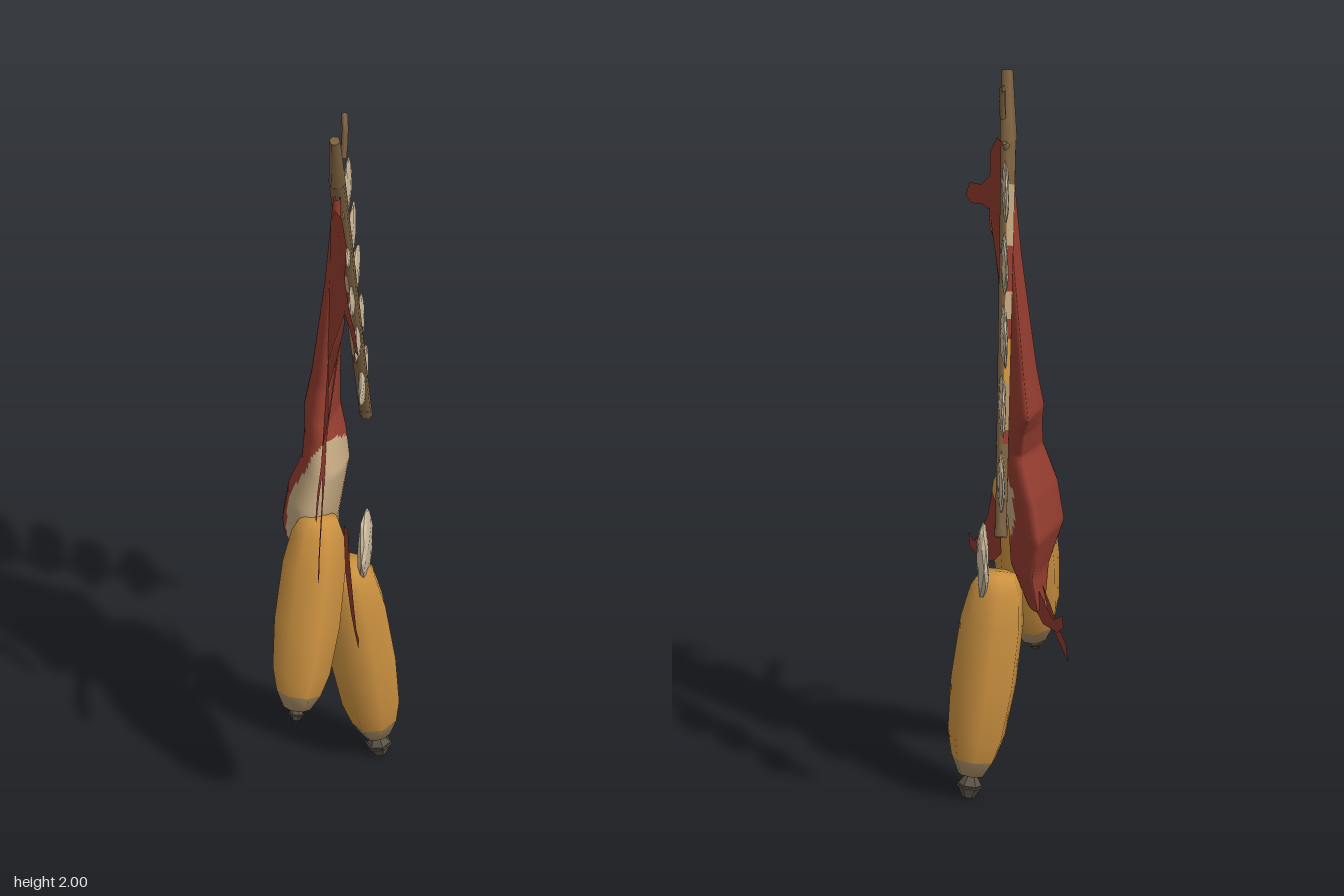
import * as THREE from 'three';

const mat = (name, color, extra = {}) => {
  const m = new THREE.MeshStandardMaterial({ color, ...extra });
  m.name = name;
  return m;
};
const V = (x, y, z) => new THREE.Vector3(x, y, z);

export function createModel() {
  const group = new THREE.Group();
  const red = mat('huskRed', 0x913b2e, { side: THREE.DoubleSide });
  const beige = mat('huskBeige', 0xbfa47d, { side: THREE.DoubleSide });
  const orange = mat('kernelOrange', 0xcb9140);
  const tan = mat('cobTan', 0xb09168);
  const brown = mat('stickBrown', 0x7c6140);
  const cream = mat('cloveCream', 0xcdba9d, { flatShading: true });
  const dark = mat('stubGrey', 0x5c5548, { flatShading: true });

  const add = (name, geo, material, parent = group) => {
    const mesh = new THREE.Mesh(geo, material);
    mesh.name = name;
    parent.add(mesh);
    return mesh;
  };
  const align = (obj, a, b) => {
    obj.position.copy(a);
    obj.quaternion.setFromUnitVectors(V(0, 1, 0), b.clone().sub(a).normalize());
  };

  // Flat ragged leaf: outline in (z, y), bent sideways by a rule for x
  const card = (name, outline, xOf) => {
    const geo = new THREE.ShapeGeometry(new THREE.Shape(outline.map(([z, y]) => new THREE.Vector2(z, y))));
    const p = geo.attributes.position;
    for (let i = 0; i < p.count; i++) {
      const z = p.getX(i), y = p.getY(i);
      p.setXYZ(i, xOf(z, y), y, z);
    }
    geo.computeVertexNormals();
    add(name, geo, red);
  };

  // Feathered leaf: each feather fans out at its own angle
  const { smoothstep } = THREE.MathUtils;
  card('featheredLeaf', [
    [0.12, 1.785], [0.165, 1.73], [0.2, 1.65], [0.27, 1.6], [0.36, 1.575], [0.39, 1.53], [0.35, 1.52], [0.27, 1.545],
    [0.21, 1.55], [0.205, 1.5], [0.245, 1.45], [0.285, 1.38], [0.3, 1.28], [0.27, 1.3], [0.245, 1.37], [0.185, 1.4],
    [0.195, 1.32], [0.235, 1.24], [0.22, 1.16], [0.17, 1.11], [0.2, 1.08], [0.3, 1.065], [0.35, 1.02], [0.325, 0.99],
    [0.25, 1.02], [0.18, 1.03], [0.17, 0.97], [0.22, 0.9], [0.27, 0.83], [0.285, 0.765], [0.25, 0.77], [0.23, 0.83],
    [0.17, 0.9], [0.1, 0.97], [0.05, 1.06], [0.02, 1.2], [0.012, 1.4], [0.02, 1.72], [0.06, 1.775],
  ], (z, y) => -0.025 - z * (0.48 - 0.1 * smoothstep(y, 1.1, 1.24) - 0.22 * smoothstep(y, 1.4, 1.5) - 0.1 * smoothstep(y, 1.62, 1.75)));

  // Curled husk tails
  card('frontHuskTail', [
    [0.11, 0.8], [0.15, 0.72], [0.22, 0.65], [0.28, 0.6], [0.335, 0.605], [0.33, 0.57],
    [0.25, 0.57], [0.17, 0.58], [0.08, 0.62], [0.02, 0.66], [0.03, 0.76],
  ], (z) => 0.015 - 0.24 * z);
  card('backHuskTail', [
    [-0.1, 0.64], [-0.15, 0.62], [-0.2, 0.6], [-0.27, 0.565], [-0.335, 0.6], [-0.345, 0.57], [-0.3, 0.54],
    [-0.2, 0.53], [-0.15, 0.55],
  ], (z) => -0.02 - 0.13 * z);
  card('lowerHuskTail', [
    [-0.15, 0.62], [-0.2, 0.58], [-0.25, 0.53], [-0.295, 0.505], [-0.31, 0.455], [-0.28, 0.475], [-0.2, 0.53],
  ], (z) => -0.03 - 0.07 * z);

  // Husk lofted from rings that narrow to the rear: y, centre x, centre z, long and short radius
  const rings = [
    [1.78, -0.005, 0.01, 0.012, 0.01], [1.5, -0.003, -0.018, 0.044, 0.024], [1.2, -0.01, -0.058, 0.087, 0.038],
    [1.1, -0.015, -0.07, 0.122, 0.047], [1.04, -0.02, -0.035, 0.112, 0.055], [0.97, -0.03, -0.005, 0.117, 0.063],
    [0.87, -0.045, -0.035, 0.165, 0.074], [0.77, -0.05, -0.06, 0.188, 0.074],
    [0.66, -0.02, -0.08, 0.13, 0.05], [0.56, -0.01, -0.135, 0.055, 0.022],
  ];
  const rows = [];
  rings.slice(1).forEach((b, k) => {
    for (let s = 0; s < 8; s++) rows.push(rings[k].map((v, i) => v + (b[i] - v) * s / 8));
  });
  rows.push(rings[rings.length - 1]);
  const sides = 48;
  const verts = [], redFaces = [], beigeFaces = [];
  rows.forEach(([y, cx, cz, a, b], r) => {
    for (let i = 0; i < sides; i++) {
      const t = (i / sides) * Math.PI * 2, cos = Math.cos(t), sin = Math.sin(t);
      const c = a * cos, s = b * sin * (1 - (sin < 0 ? 0.75 : 0.35) * Math.max(0, cos));
      verts.push(cx + 0.45 * c + 0.89 * s, y, cz - 0.89 * c + 0.45 * s);
    }
    if (!r) return;
    // Oval pale patch on the front of the husk
    for (let i = 0; i < sides; i++) {
      const j = (i + 1) % sides, p = (r - 1) * sides, q = r * sides;
      const u = ((i + 0.5) * 360 / sides - 148) / 92, v = ((y + rows[r - 1][0]) / 2 - 0.87) / 0.185;
      (u * u + v * v < 1 ? beigeFaces : redFaces).push(p + i, p + j, q + i, p + j, q + j, q + i);
    }
  });
  const husk = new THREE.BufferGeometry();
  husk.setAttribute('position', new THREE.Float32BufferAttribute(verts, 3));
  husk.setIndex([...redFaces, ...beigeFaces]);
  husk.addGroup(0, redFaces.length, 0);
  husk.addGroup(redFaces.length, beigeFaces.length, 1);
  husk.computeVertexNormals();
  add('husk', husk, [red, beige]);

  // Corn cobs: lathed body, pale end and a ragged stub
  const lathe = (pts) => new THREE.LatheGeometry(pts.map(([r, y]) => new THREE.Vector2(r, y)), 7);
  const cob = (name, bottom, top, stub, width) => {
    const g = new THREE.Group();
    g.name = name;
    const L = bottom.distanceTo(top);
    add('cobEnd', lathe([[0, 0], [0.036, 0], [0.06, 0.045]]), tan, g);
    add('kernels', lathe([[0.06, 0.045], [0.078, 0.11], [0.089, L * 0.45], [0.086, L * 0.75],
      [0.072, L * 0.91], [0.05, L * 0.99], [0, L]]), orange, g);
    [[0.014, 0.035, 0.28], [0.035, 0.016, 0.72]].forEach(([r1, r0, at]) => {
      const geo = new THREE.CylinderGeometry(r1 * width, r0 * width, stub * 0.55, 6);
      add('stub', geo, dark, g).position.y = -stub * at;
    });
    align(g, bottom, top);
    group.add(g);
  };
  cob('leftHangingCob', V(-0.187, 0.335, 0.197), V(-0.085, 0.86, 0.1), 0.035, 0.6);
  cob('lowerCob', V(0.112, 0.066, 0), V(0.03, 0.62, -0.005), 0.064, 1);

  // Faceted, nearly flat cloves in a row along the stick
  const clove = (name, x, y, z, a, b, thick, seed, tilt) => {
    const geo = new THREE.IcosahedronGeometry(1, 1);
    const p = geo.attributes.position, v = V();
    for (let i = 0; i < p.count; i++) {
      v.fromBufferAttribute(p, i);
      const k = 0.97 + 0.08 * Math.sin(v.x * 5 + v.y * 7 + v.z * 9 + seed * 2);
      p.setXYZ(i, v.x * k * a, v.y * k * b * (1 + 0.12 * v.x), v.z * k * thick);
    }
    geo.computeVertexNormals();
    const m = add(name, geo, cream);
    m.position.set(x, y, z);
    m.rotation.set(0, Math.atan2(0.89, 0.45), tilt);
  };
  [[0.064, 1.72, -0.1, 0.095], [0.092, 1.54, -0.145, 0.115], [0.124, 1.36, -0.2, 0.115],
    [0.151, 1.18, -0.24, 0.105], [0.183, 0.99, -0.292, 0.103]].forEach(([x, y, z, a], i) =>
    clove('clove' + (i + 1), x, y, z, a, 0.084, 0.01, i, 0.12));
  clove('lowerClove', 0.08, 0.66, -0.005, 0.095, 0.105, 0.018, 7, 0);

  // Tapered six-sided stick; bands are painted on its back half only
  const rod = (name, a, b, r0, r1, material, start = 0, length = Math.PI * 2) => {
    const L = a.distanceTo(b), half = length < 4;
    const geo = new THREE.CylinderGeometry(r1, r0, L, half ? 3 : 6, 1, half, start, length);
    geo.translate(0, L / 2, 0);
    align(add(name, geo, material), a, b);
  };
  const top = V(-0.03, 1.995, 0.06), bend = V(0, 1.82, 0), end = V(0.203, 0.848, -0.325);
  const radius = (t) => 0.023 - 0.006 * t;
  rod('stickTop', bend, top, radius(0), 0.015, brown);
  rod('stickEnd', end, end.clone().lerp(bend, 0.03), radius(1), radius(0.97), brown);
  const back = THREE.MathUtils.degToRad(150);
  [[0, 0.11, brown], [0.11, 0.265, beige], [0.265, 0.38, red], [0.38, 0.45, beige], [0.45, 0.5, red],
    [0.5, 0.61, orange], [0.61, 0.73, tan], [0.73, 0.765, red], [0.765, 0.98, brown]].forEach(([s, e, m]) => {
    const hi = bend.clone().lerp(end, s), lo = bend.clone().lerp(end, e);
    rod('stickBand', lo, hi, radius(e), radius(s), m, back, Math.PI);
    rod('stickFront', lo, hi, radius(e), radius(s), brown, back + Math.PI, Math.PI);
  });
  rod('stickKnot', V(0, 1.79, -0.005), V(0.024, 1.825, -0.022), 0.018, 0.006, brown);

  // Curled stem beside the stick top
  const stem = new THREE.CatmullRomCurve3([V(0.042, 1.99, -0.058), V(0.032, 1.98, -0.028), V(0.027, 1.94, -0.016), V(0.02, 1.89, -0.008)]);
  add('curledStem', new THREE.TubeGeometry(stem, 8, 0.009, 5), brown);

  return group;
}
